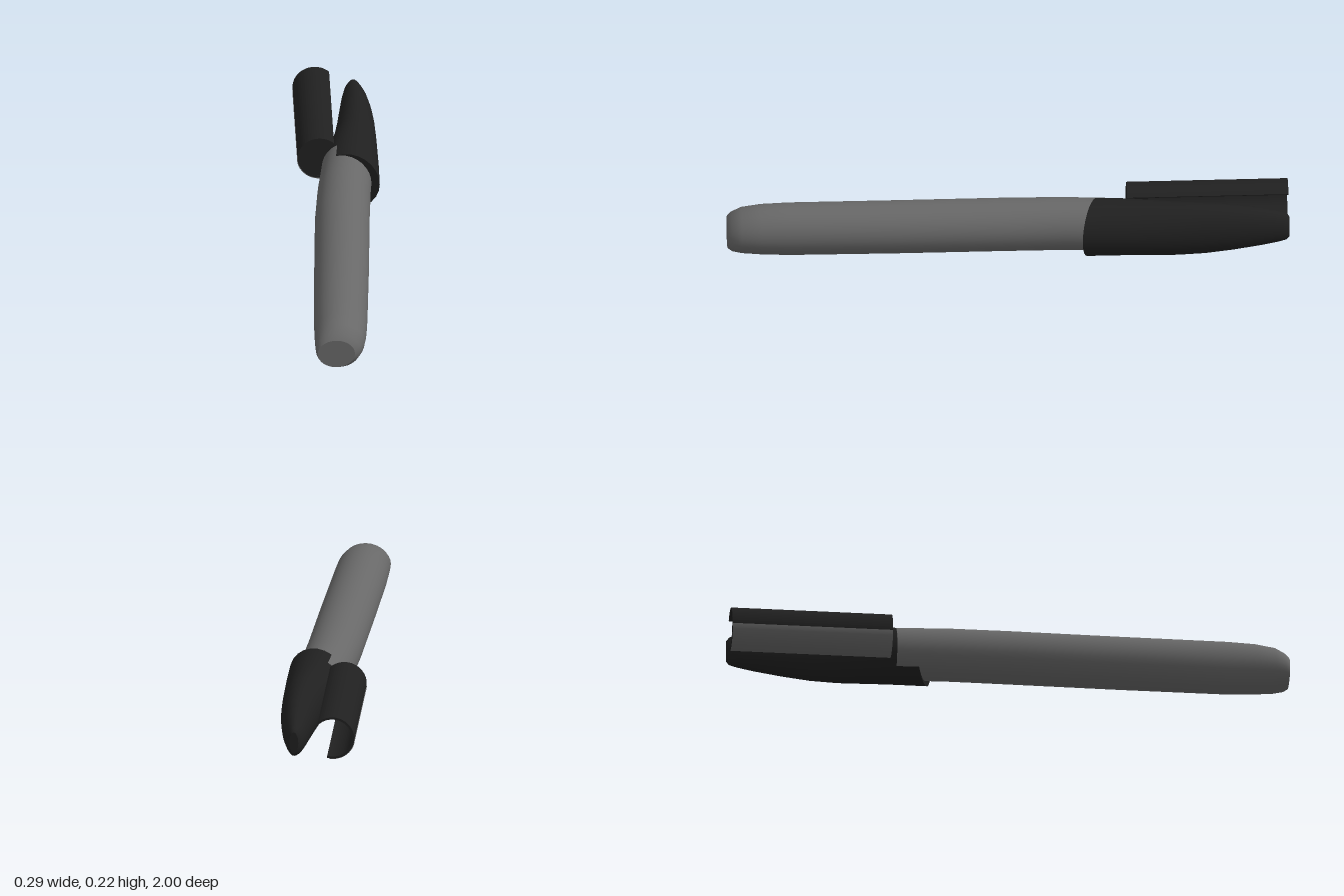
import * as THREE from 'three';

const barrelGrey = new THREE.MeshStandardMaterial({ color: 0x686868 });
const capBlack = new THREE.MeshStandardMaterial({ color: 0x202020 });

// Skin rings given as [z, left, right, bottom, top, slant], listed from front to back
function loft(rings, sides) {
  const pos = [], index = [];
  const point = ([z, l, r, b, t, slant = 0], j) => {
    const a = (j / sides) * Math.PI * 2;
    return [(l + r) / 2 + Math.cos(a) * (r - l) / 2,
      (b + t) / 2 + Math.sin(a) * (t - b) / 2,
      z + slant * Math.cos(a)];
  };
  rings.forEach((ring) => {
    for (let j = 0; j < sides; j++) pos.push(...point(ring, j));
  });
  for (let i = 0; i < rings.length - 1; i++) {
    for (let j = 0; j < sides; j++) {
      const k = (j + 1) % sides;
      const a = i * sides + j, b = i * sides + k;
      index.push(a, a + sides, b, b, a + sides, b + sides);
    }
  }
  // flat ends with their own vertices, so the rims stay crisp
  [rings[0], rings[rings.length - 1]].forEach((ring, end) => {
    const start = pos.length / 3;
    for (let j = 0; j < sides; j++) pos.push(...point(ring, j));
    for (let j = 1; j < sides - 1; j++) {
      if (end === 0) index.push(start, start + j, start + j + 1);
      else index.push(start, start + j + 1, start + j);
    }
  });
  const g = new THREE.BufferGeometry();
  g.setAttribute('position', new THREE.Float32BufferAttribute(pos, 3));
  g.setIndex(index);
  g.computeVertexNormals();
  return g;
}

// Curved strip running along z, between two angles in degrees
function arcStrip(from, to, inner, outer, z, depth) {
  const a0 = THREE.MathUtils.degToRad(from), a1 = THREE.MathUtils.degToRad(to);
  const s = new THREE.Shape();
  s.absarc(0, 0, outer, a0, a1, false);
  if (inner > 0) s.absarc(0, 0, inner, a1, a0, true);
  const g = new THREE.ExtrudeGeometry(s, { depth, bevelEnabled: false, curveSegments: 20 });
  return g.translate(-0.068, 0.143, z);
}

export function createModel() {
  const group = new THREE.Group();
  const add = (name, geometry, material) => {
    const mesh = new THREE.Mesh(geometry, material);
    mesh.name = name;
    group.add(mesh);
  };

  // Gently bent barrel with a blunt rounded end
  add('barrel', loft([
    [1, -0.118, 0.015, 0.02, 0.125],
    [0.985, -0.124, 0.035, 0.013, 0.145],
    [0.95, -0.126, 0.05, 0.008, 0.168],
    [0.88, -0.126, 0.06, 0.004, 0.182],
    [0.78, -0.125, 0.066, 0.001, 0.188],
    [0.4, -0.112, 0.083, 0.008, 0.196],
    [0, -0.097, 0.098, 0.017, 0.206],
    [-0.2, -0.082, 0.108, 0.023, 0.212],
    [-0.4, -0.06, 0.122, 0.027, 0.215],
  ], 28), barrelGrey);

  // Tapering cap with a slanted mouth
  add('cap', loft([
    [-0.295, -0.062, 0.142, 0.014, 0.221, 0.035],
    [-0.42, -0.05, 0.143, 0.016, 0.222, 0.01],
    [-0.6, -0.012, 0.141, 0.018, 0.222],
    [-0.7, 0.002, 0.138, 0.024, 0.22],
    [-0.8, 0.013, 0.131, 0.036, 0.213],
    [-0.9, 0.024, 0.118, 0.05, 0.198],
    [-0.96, 0.033, 0.105, 0.06, 0.184],
    [-0.99, 0.043, 0.096, 0.068, 0.174],
    [-1, 0.054, 0.086, 0.08, 0.16],
  ], 24), capBlack);

  // Hollow clip, open towards the cap and closed at its front
  add('clip', arcStrip(48, 285, 0.07, 0.078, -1, 0.575), capBlack);
  add('clipFrontEnd', arcStrip(48, 285, 0, 0.077, -0.5, 0.074), capBlack);
  // Pale lower outside of the clip
  add('clipPaleSide', arcStrip(188, 278, 0.077, 0.08, -0.998, 0.573), barrelGrey);

  return group;
}
